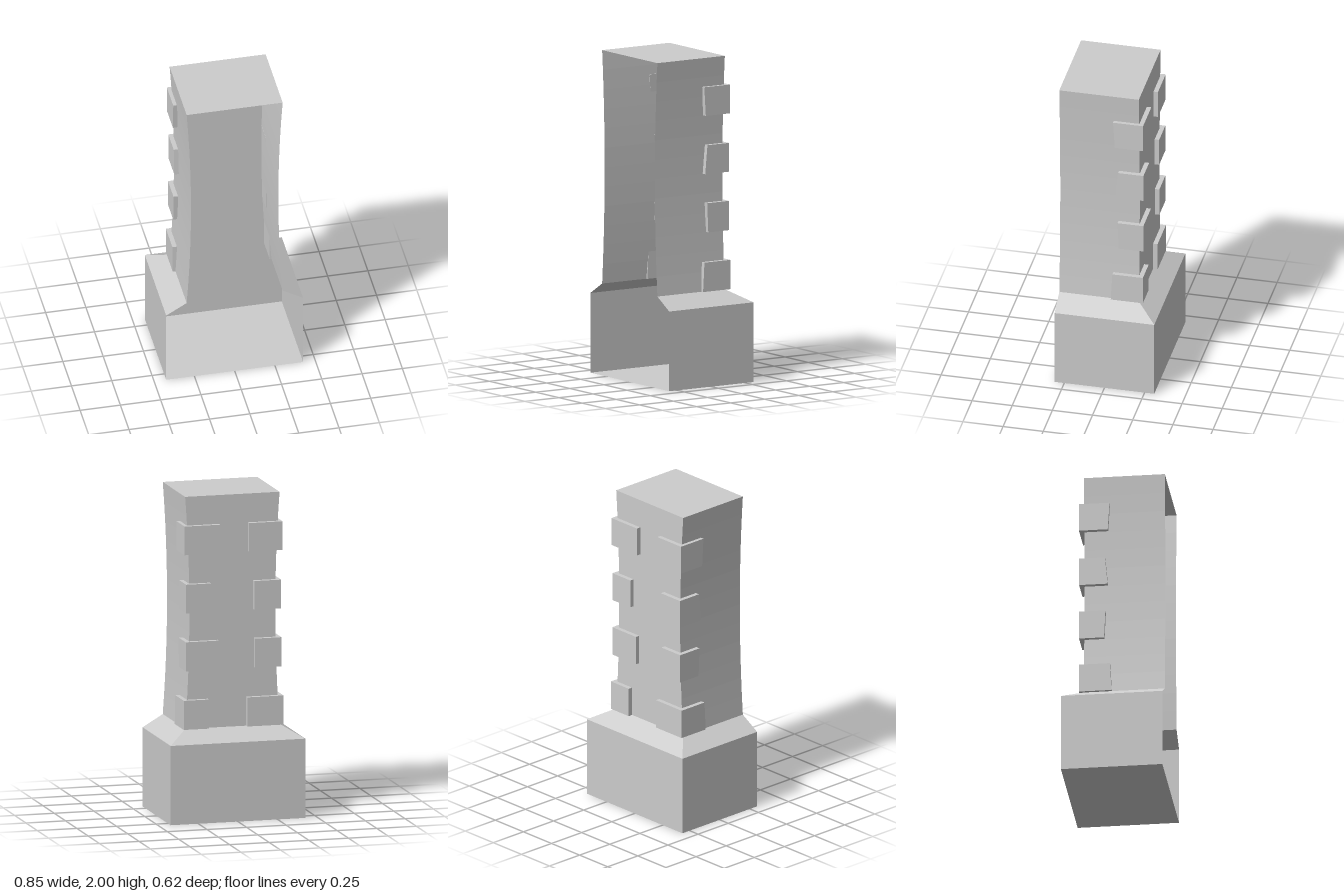
import * as THREE from 'three';

const FRONT = 0.31, WALL_Z = -0.185, QUOIN_Z = -0.214;
const shell = new THREE.MeshStandardMaterial({ color: 0xcccccc, flatShading: true, side: THREE.DoubleSide });
const solid = new THREE.MeshStandardMaterial({ color: 0xcccccc, flatShading: true });

// Three-sided wall, open at the front, lofted through [y, halfWidth, backZ] levels
function openWall(name, levels) {
  const pos = [];
  const ring = ([y, w, z]) => [[w, y, FRONT], [w, y, z], [-w, y, z], [-w, y, FRONT]];
  for (let i = 0; i < levels.length - 1; i++) {
    const a = ring(levels[i]), b = ring(levels[i + 1]);
    for (let k = 0; k < 3; k++) {
      for (const p of [a[k], a[k + 1], b[k + 1], a[k], b[k + 1], b[k]]) pos.push(...p);
    }
  }
  const geo = new THREE.BufferGeometry();
  geo.setAttribute('position', new THREE.Float32BufferAttribute(pos, 3));
  geo.computeVertexNormals();
  const mesh = new THREE.Mesh(geo, shell);
  mesh.name = name;
  return mesh;
}

// Horizontal cap; dir is +1 facing up, -1 facing down
function cap(name, y, halfWidth, backZ, dir) {
  const geo = new THREE.PlaneGeometry(halfWidth * 2, FRONT - backZ).rotateX(-dir * Math.PI / 2);
  const mesh = new THREE.Mesh(geo, shell);
  mesh.position.set(0, y, (FRONT + backZ) / 2);
  mesh.name = name;
  return mesh;
}

// L-shaped corner stone; the end of its side arm leans from zLow to zHigh
function quoin(side, y, height, outer, inner, zLow, zHigh) {
  const t = 0.028;
  const outline = [
    [outer, QUOIN_Z], [outer, zLow], [outer - t, zLow],
    [outer - t, QUOIN_Z + t], [inner, QUOIN_Z + t], [inner, QUOIN_Z],
  ];
  const shape = new THREE.Shape(outline.map(([x, z]) => new THREE.Vector2(side * x, -z)));
  const geo = new THREE.ExtrudeGeometry(shape, { depth: height, bevelEnabled: false }).rotateX(-Math.PI / 2);
  const p = geo.attributes.position;
  for (let i = 0; i < p.count; i++) {
    if (p.getZ(i) > -0.1 && p.getY(i) > height / 2) p.setZ(i, zHigh);
  }
  geo.computeVertexNormals();
  const mesh = new THREE.Mesh(geo, solid);
  mesh.position.y = y;
  mesh.name = side > 0 ? 'leftQuoin' : 'rightQuoin';
  return mesh;
}

export function createModel() {
  const group = new THREE.Group();
  group.name = 'cornerPillar';

  // Plinth with its sloped shoulder
  group.add(openWall('plinth', [[0, 0.425, -0.31], [0.49, 0.425, -0.31]]));
  group.add(openWall('shoulder', [[0.49, 0.425, -0.31], [0.565, 0.298, WALL_Z]]));
  group.add(cap('plinthFloor', 0, 0.425, -0.31, -1));

  // Shaft with a gently waisted width
  const levels = [];
  for (let i = 0; i <= 12; i++) {
    const t = i / 6 - 1;
    levels.push([0.565 + (1.435 * i) / 12, 0.271 + 0.027 * t * t, WALL_Z]);
  }
  group.add(openWall('shaft', levels));
  group.add(cap('shaftTop', 2, 0.298, WALL_Z, 1));

  // Corner stones: y, height, outer x, inner x on the left and right, side end z low and high
  const stones = [
    [0.565, 0.18, 0.315, 0.156, 0.087, -0.014, -0.024],
    [0.926, 0.18, 0.302, 0.092, 0.135, -0.061, -0.053],
    [1.285, 0.177, 0.300, 0.142, 0.130, -0.040, -0.056],
    [1.645, 0.177, 0.309, 0.083, 0.098, -0.038, -0.027],
  ];
  for (const [y, h, outer, innerLeft, innerRight, zLow, zHigh] of stones) {
    group.add(quoin(1, y, h, outer, innerLeft, zLow, zHigh));
    group.add(quoin(-1, y, h, outer, innerRight, zLow, zHigh));
  }
  return group;
}
